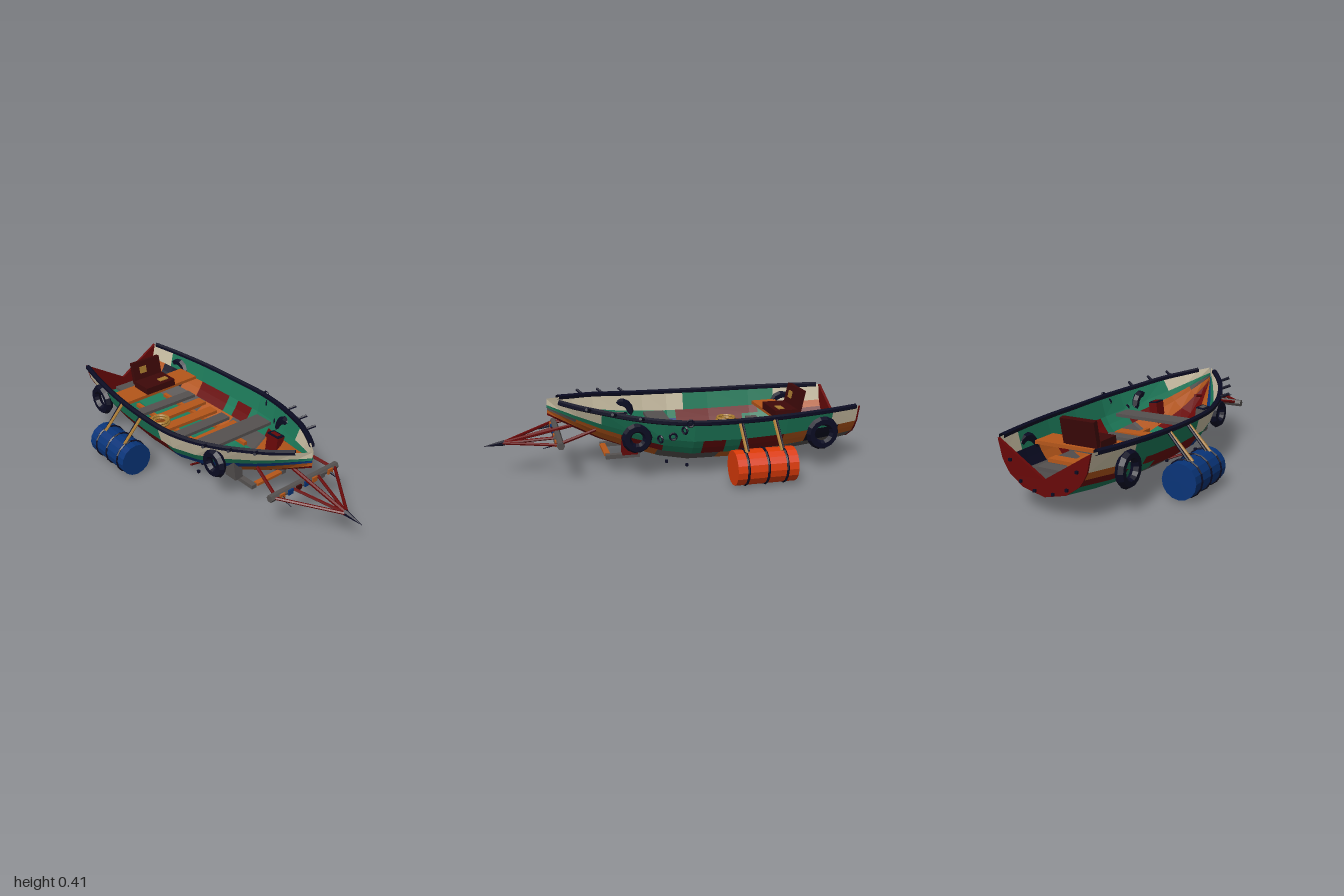
import * as THREE from 'three';

const mat = (name, color, double = false) => {
  const m = new THREE.MeshStandardMaterial({ color, flatShading: true });
  m.name = name;
  if (double) m.side = THREE.DoubleSide;
  return m;
};
const V = (x, y, z) => new THREE.Vector3(x, y, z);

// Hull stations: z, half width, sheer height, keel height
const STATIONS = [
  [-0.98, 0.25, 0.325, 0.09], [-0.8, 0.286, 0.32, 0.065], [-0.55, 0.32, 0.315, 0.042],
  [-0.3, 0.334, 0.312, 0.032], [-0.05, 0.331, 0.316, 0.036], [0.1, 0.304, 0.325, 0.062],
  [0.25, 0.256, 0.34, 0.11], [0.4, 0.188, 0.362, 0.17], [0.52, 0.115, 0.378, 0.235],
  [0.6, 0.055, 0.392, 0.28], [0.66, 0.004, 0.402, 0.315],
];
// Cross-section from keel to sheer: width fraction, height fraction
const SECTION = [[0, 0], [0.47, 0.12], [0.75, 0.33], [0.84, 0.47], [0.915, 0.62], [1, 1]];

function station(z) {
  let i = 0;
  while (i < STATIONS.length - 2 && z > STATIONS[i + 1][0]) i++;
  const a = STATIONS[i], b = STATIONS[i + 1], t = (z - a[0]) / (b[0] - a[0]);
  return a.map((v, k) => v + (b[k] - v) * t);
}
// Point on the hull at level k (0 keel, 5 sheer); the bow straightens to a V
function hullPoint(z, k, side) {
  const [, w, top, keel] = station(z);
  const [u, v] = SECTION[k];
  const bow = THREE.MathUtils.clamp((z - 0.05) / 0.6, 0, 1);
  return V(side * w * THREE.MathUtils.lerp(u, Math.pow(v, 0.75), bow), keel + (top - keel) * v, z);
}
// Hull x at a given height
function hullX(z, y) {
  for (let k = 0; k < 5; k++) {
    const a = hullPoint(z, k, 1), b = hullPoint(z, k + 1, 1);
    if (y <= b.y) return THREE.MathUtils.mapLinear(Math.max(y, a.y), a.y, b.y, a.x, b.x);
  }
  return hullPoint(z, 5, 1).x;
}

export function createModel() {
  const root = new THREE.Group();
  root.name = 'scrapBoat';
  const M = {
    cream: mat('cream', 0xc9bea3, true), green: mat('green', 0x1c7858, true),
    wood: mat('orangeWood', 0xb4561a, true), red: mat('darkRed', 0x680808, true),
    grey: mat('grey', 0x555150, true), blue: mat('blue', 0x083478, true),
    navy: mat('navyBlack', 0x0a0b22, true), drum: mat('drumOrange', 0xdb3a08),
    maroon: mat('maroon', 0x3d0808), rope: mat('ropeTan', 0xa8792f),
  };
  const add = (name, geo, m, x = 0, y = 0, z = 0, rx = 0, ry = 0, rz = 0) => {
    const mesh = new THREE.Mesh(geo, m);
    mesh.name = name;
    mesh.position.set(x, y, z);
    mesh.rotation.set(rx, ry, rz);
    root.add(mesh);
    return mesh;
  };
  const box = (name, w, h, d, m, ...place) => add(name, new THREE.BoxGeometry(w, h, d), m, ...place);
  const rod = (name, a, b, r, m, r2 = r) => {
    const mesh = add(name, new THREE.CylinderGeometry(r2, r, a.distanceTo(b), 6), m);
    mesh.position.copy(a).lerp(b, 0.5);
    mesh.quaternion.setFromUnitVectors(V(0, 1, 0), b.clone().sub(a).normalize());
  };

  // Patchwork hull planks, one mesh for each coloured run of a strake
  const plank = (k, side, z0, z1, m) => {
    const zs = [z0, ...STATIONS.map((s) => s[0]).filter((z) => z > z0 + 0.01 && z < z1 - 0.01), z1];
    const pos = [];
    for (let i = 0; i < zs.length - 1; i++) {
      const a = hullPoint(zs[i], k, side), b = hullPoint(zs[i + 1], k, side);
      const c = hullPoint(zs[i + 1], k + 1, side), d = hullPoint(zs[i], k + 1, side);
      const tris = side > 0 ? [a, d, c, a, c, b] : [a, c, d, a, b, c];
      tris.forEach((p) => pos.push(p.x, p.y, p.z));
    }
    const g = new THREE.BufferGeometry();
    g.setAttribute('position', new THREE.Float32BufferAttribute(pos, 3));
    g.computeVertexNormals();
    add('hullPlank', g, m);
  };
  // Each strake from keel to sheer: colour, forward end of the run, ...
  const strakes = {
    1: [
      ['green', 0.2, 'red', 0.66],
      ['grey', -0.45, 'wood', -0.2, 'grey', 0.12, 'wood', 0.66],
      ['wood', -0.87, 'navy', -0.68, 'wood', -0.54, 'red', -0.3, 'green', -0.22, 'red', -0.1, 'green', 0.1, 'red', 0.3, 'wood', 0.52, 'grey', 0.66],
      ['wood', -0.87, 'navy', -0.68, 'wood', -0.54, 'red', -0.3, 'green', -0.22, 'red', -0.1, 'green', 0.66],
      ['cream', -0.82, 'green', 0.4, 'cream', 0.66],
    ],
    '-1': [
      ['green', 0.2, 'red', 0.66],
      ['green', -0.5, 'grey', -0.1, 'green', 0.18, 'wood', 0.66],
      ['red', -0.7, 'green', -0.5, 'red', -0.1, 'blue', 0.66],
      ['wood', -0.8, 'green', -0.6, 'red', -0.1, 'green', 0.66],
      ['cream', -0.7, 'green', -0.15, 'cream', 0.66],
    ],
  };
  for (const side of [1, -1]) {
    strakes[side].forEach((runs, k) => {
      let z0 = -0.98;
      for (let i = 0; i < runs.length; i += 2) {
        plank(k, side, z0, runs[i + 1], M[runs[i]]);
        z0 = runs[i + 1];
      }
    });
  }

  // Transom with a dipped top edge, and its bolts
  const rim = [];
  for (let k = 5; k >= 0; k--) rim.push(hullPoint(-0.98, k, -1));
  for (let k = 1; k <= 5; k++) rim.push(hullPoint(-0.98, k, 1));
  const outline = new THREE.Shape([...rim.map((p) => new THREE.Vector2(p.x, p.y)), new THREE.Vector2(0, 0.17)]);
  add('transom', new THREE.ExtrudeGeometry(outline, { depth: 0.015, bevelEnabled: false }), M.red, 0, 0, -0.99);
  for (const s of [1, -1]) {
    for (const [x, y] of [[0.18, 0.235], [0.125, 0.145], [0.05, 0.113]]) box('transomBolt', 0.013, 0.013, 0.014, M.navy, s * x, y, -0.993);
  }

  for (const s of [1, -1]) {
    // Gunwale rail following the sheer
    const rail = [];
    for (const z of [-0.96, ...STATIONS.slice(1, 9).map((r) => r[0]), 0.6]) rail.push(hullPoint(z, 5, s));
    add('gunwale', new THREE.TubeGeometry(new THREE.CatmullRomCurve3(rail), 40, 0.015, 6), M.navy);

    // Spikes along the bow rail
    for (const z of [0.2, 0.33, 0.45]) {
      const p = hullPoint(z, 5, s);
      rod('railSpike', p, p.clone().add(V(s * 0.05, 0.02, 0.03)), 0.008, M.navy);
    }

    // Tyre fenders
    for (const [x, y, z, r] of [[0.252, 0.235, 0.235, 0.054], [0.288, 0.2, -0.76, 0.066]]) {
      add('tyreFender', new THREE.TorusGeometry(r, 0.025, 6, 14), M.navy, s * x, y, z, 0, Math.PI / 2, 0);
    }

    // Side barrel with hoops, hanging ropes and dark tie lines
    const bx = s * 0.422, by = 0.097;
    add('barrel', new THREE.CylinderGeometry(0.09, 0.09, 0.32, 16), s > 0 ? M.drum : M.blue, bx, by, -0.38, Math.PI / 2);
    for (const z of [-0.275, -0.38, -0.48]) {
      add('barrelHoop', new THREE.TorusGeometry(0.09, 0.007, 5, 16), M.navy, bx, by, z);
    }
    for (const z of [-0.28, -0.465]) {
      rod('barrelRope', V(s * 0.335, 0.305, z), V(s * 0.455, 0.18, z), 0.008, M.rope);
      rod('tieLine', V(s * 0.33, 0.31, z - 0.014), V(s * 0.44, 0.183, z - 0.014), 0.007, M.navy);
    }

    // Framed boxes pushed through the bow planking, and struts to the ram beam
    const boxColour = s > 0 ? M.red : M.grey;
    box('bowBox', 0.05, 0.13, 0.08, boxColour, s * 0.145, 0.185, 0.255, 0, 0, s * -0.12);
    box('bowBoxFrame', 0.05, 0.006, 0.08, M.navy, s * 0.153, 0.253, 0.255, 0, 0, s * -0.12);
    box('bowBoxLid', 0.026, 0.006, 0.05, boxColour, s * 0.153, 0.256, 0.255, 0, 0, s * -0.12);
    rod('ramStrut', V(s * 0.14, 0.26, 0.43), V(s * 0.195, 0.215, 0.62), 0.009, M.red);
    rod('ramRod', V(s * 0.205, 0.215, 0.63), V(0, 0.18, 0.9), 0.008, M.red);
    rod('ramRod', V(s * 0.085, 0.215, 0.63), V(0, 0.18, 0.9), 0.008, M.red);
    rod('beamSpike', V(s * 0.165, 0.21, 0.62), V(s * 0.17, 0.19, 0.7), 0.009, M.navy, 0.002);

    // Skid under the bow, and floor bearers
    box('skidRunner', 0.03, 0.022, 0.18, M.grey, s * 0.105, 0.098, 0.285);
    box('floorBearer', 0.022, 0.02, 0.75, M.wood, s * 0.1, 0.132, -0.3);
  }
  box('skidCrossbar', 0.17, 0.014, 0.03, M.wood, 0, 0.103, 0.365);

  // Loose nails and a splinter on the bottom
  for (const [x, y, z] of [[-0.095, 0.018, -0.06], [-0.21, 0.07, 0.05], [0.16, 0.036, -0.05], [0.24, 0.095, 0.08]]) {
    box('bottomNail', 0.014, 0.014, 0.014, M.navy, x, y, z);
  }
  rod('splinter', V(-0.2, 0.068, -0.03), V(-0.105, 0.03, -0.06), 0.006, M.red);

  // Ram: beam, centre rod, pointed tip, patches
  rod('ramBeam', V(-0.23, 0.213, 0.615), V(0.23, 0.213, 0.615), 0.02, M.grey);
  rod('ramRod', V(0, 0.265, 0.46), V(0, 0.18, 0.9), 0.01, M.red);
  rod('ramTip', V(0, 0.181, 0.885), V(0, 0.168, 0.99), 0.016, M.navy, 0.001);
  ['wood', 'blue', 'maroon', 'blue', 'wood', 'grey', 'wood'].forEach((c, i) => {
    box('beamPatch', 0.032, 0.028, 0.008, M[c], -0.165 + i * 0.055, 0.212, 0.636);
  });

  // Floor slats and thwarts: left x, right x, y, z, depth, colour
  const boards = [
    [-0.12, 0.13, 0.17, -0.845, 0.07, 'grey'], [-0.14, 0.14, 0.18, -0.75, 0.06, 'wood'],
    [-0.275, 0.265, 0.235, -0.64, 0.145, 'wood'], [-0.185, 0.19, 0.17, -0.522, 0.065, 'grey'],
    [-0.2, 0.2, 0.155, -0.425, 0.065, 'wood'], [-0.19, 0.19, 0.15, -0.315, 0.065, 'wood'],
    [-0.19, 0.19, 0.155, -0.2, 0.07, 'grey'], [-0.185, 0.19, 0.15, -0.09, 0.07, 'wood'],
    [-0.26, 0.26, 0.215, 0.045, 0.115, 'grey'], [-0.1, 0.08, 0.155, 0.215, 0.05, 'wood'],
  ];
  boards.forEach(([x0, x1, y, z, d, c], i) => {
    box('crossBoard', x1 - x0, 0.018, d, M[c], (x0 + x1) / 2, y, z, 0, ((i * 7) % 5 - 2) * 0.012, 0);
  });

  // Helm seat with reclined back and patches
  box('seat', 0.2, 0.04, 0.13, M.maroon, 0, 0.262, -0.63);
  box('seatBack', 0.19, 0.13, 0.028, M.maroon, 0, 0.32, -0.715, -0.2);
  box('seatPatch', 0.06, 0.005, 0.035, M.rope, 0.045, 0.284, -0.61);
  box('seatBackPatch', 0.045, 0.04, 0.005, M.rope, -0.03, 0.335, -0.702, -0.2);

  // Coiled rope
  for (const [r, y] of [[0.052, 0.172], [0.048, 0.186], [0.036, 0.176]]) {
    add('ropeCoil', new THREE.TorusGeometry(r, 0.008, 6, 18), M.rope, -0.155, y, -0.365, Math.PI / 2);
  }

  // Chain draped from the rail to the bow tyre
  [[0.18, 0.225], [0.12, 0.228], [0.06, 0.245], [0.005, 0.28], [-0.02, 0.318]].forEach(([z, y], i) => {
    add('chainLink', new THREE.TorusGeometry(0.017, 0.006, 5, 10), M.navy, hullX(z, y) + 0.012, y, z, 0, i % 2 ? 0.6 : 1.4, 0);
  });

  return root;
}
